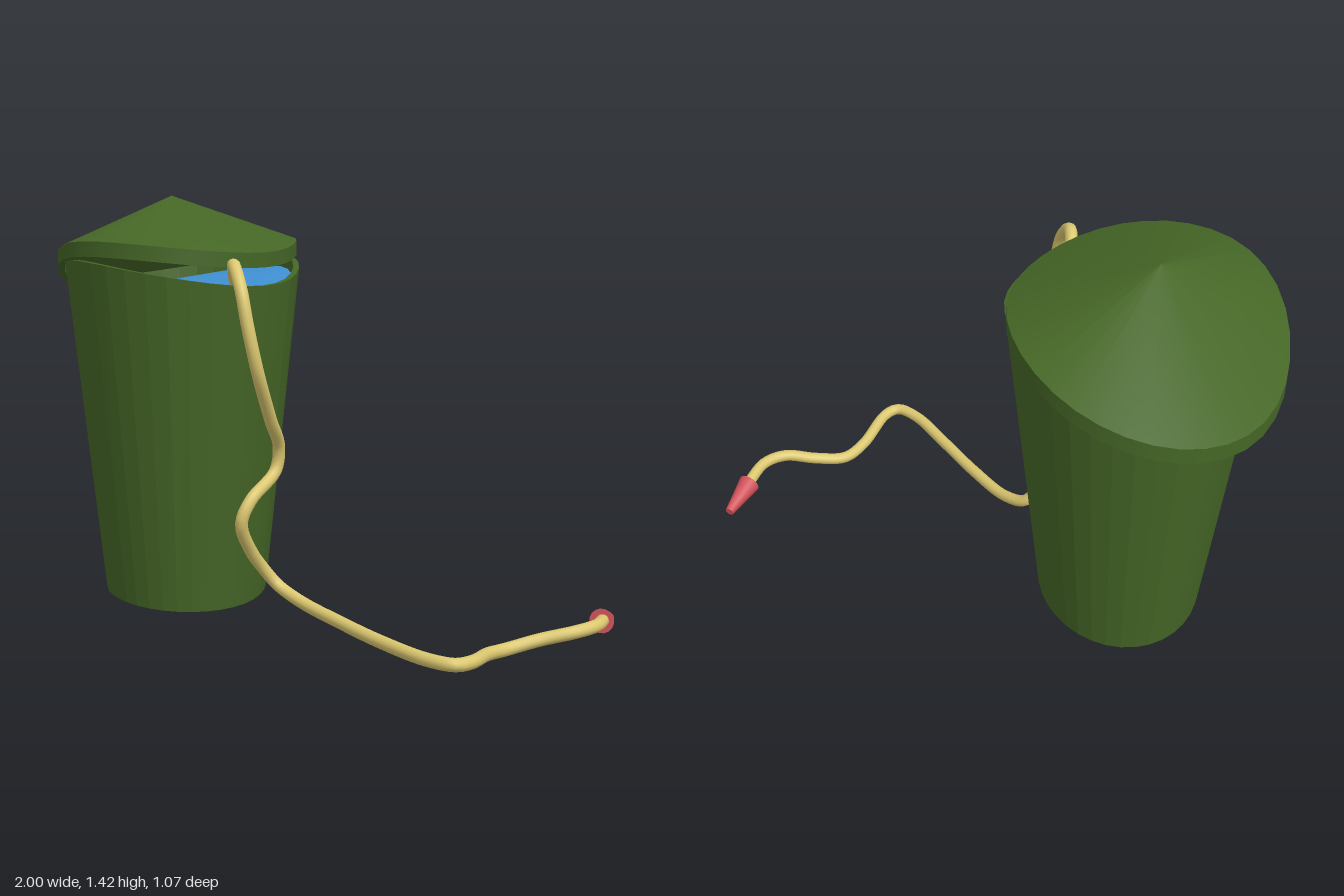
import * as THREE from 'three';
import { toCreasedNormals } from 'three/addons/utils/BufferGeometryUtils.js';

const SIDES = 36;
const SKEW = 0.2; // slant of the oval in plan
const TURN = THREE.MathUtils.degToRad(15); // direction of the saddle's low points

// Skewed oval ring whose height follows a saddle plus a tilt.
// r = [half width x, half depth z], c = centre [x, z]
function ring(c, r, y, saddle = 0, tilt = 0) {
  const pts = [];
  for (let i = 0; i < SIDES; i++) {
    const t = (i / SIDES) * Math.PI * 2;
    const x = r[0] * Math.cos(t);
    const z = r[1] * (SKEW * Math.cos(t) + Math.sqrt(1 - SKEW * SKEW) * Math.sin(t));
    const a = Math.atan2(z, x) - TURN;
    pts.push([c[0] + x, y + tilt * Math.cos(a) - saddle * Math.cos(2 * a), c[1] + z]);
  }
  return pts;
}

// Single point repeated, closing a loft
const tip = (x, y, z) => Array.from({ length: SIDES }, () => [x, y, z]);

// Skin a list of rings
function loft(rings, crease) {
  const pos = [];
  const idx = [];
  rings.forEach((r) => r.forEach((p) => pos.push(...p)));
  for (let i = 0; i < rings.length - 1; i++) {
    for (let j = 0; j < SIDES; j++) {
      const k = (j + 1) % SIDES;
      const a = i * SIDES + j, b = a + SIDES;
      const c = i * SIDES + k, d = c + SIDES;
      idx.push(a, b, c, c, b, d);
    }
  }
  const g = new THREE.BufferGeometry();
  g.setAttribute('position', new THREE.Float32BufferAttribute(pos, 3));
  g.setIndex(idx);
  return toCreasedNormals(g, crease);
}

export function createModel() {
  const model = new THREE.Group();
  const material = (color) => new THREE.MeshStandardMaterial({ color, side: THREE.DoubleSide });
  const green = material(0x456626);
  const add = (name, geometry, mat) => {
    const mesh = new THREE.Mesh(geometry, mat);
    mesh.name = name;
    model.add(mesh);
    return mesh;
  };

  // Tapered bucket: floor, outer wall, rim, inner wall, inner floor
  const c = [-0.44, 0.06];
  add('bucket', loft([
    tip(c[0], 0.053, c[1]),
    ring(c, [0.305, 0.326], 0.053, 0.008),
    ring(c, [0.43, 0.47], 1.17, 0.04),
    ring(c, [0.408, 0.447], 1.17, 0.04),
    ring(c, [0.285, 0.306], 0.09, 0.008),
    tip(c[0], 0.09, c[1]),
  ], 0.12), green);

  // Liquid filling the bucket to just under the rim
  add('liquid', loft([
    ring(c, [0.406, 0.444], 1.13, 0.04),
    tip(c[0], 1.13, c[1]),
  ], 0.5), material(0x3f8fd2));

  // Warped conical lid, hollow below, resting askew
  const l = [-0.55, -0.045];
  add('lid', loft([
    tip(-0.58, 1.375, -0.045),
    ring(l, [0.425, 0.47], 1.19, 0.045, 0.062),
    ring(l, [0.425, 0.47], 1.165, 0.045, 0.062),
    ring(l, [0.45, 0.495], 1.165, 0.045, 0.062),
    ring(l, [0.45, 0.495], 1.215, 0.045, 0.062),
    tip(-0.58, 1.42, -0.045),
  ], 0.5), green);

  // Hose: over the rim, winding down the side and along the ground
  const path = [
    [-0.115, 1.1, 0.17], [-0.1, 1.15, 0.21], [-0.05, 1.2, 0.28], [0.02, 1.13, 0.335],
    [0.05, 1.02, 0.342], [0.065, 0.87, 0.31], [0.035, 0.7, 0.2], [0.005, 0.6, 0.115],
    [-0.005, 0.52, 0.12], [-0.01, 0.44, 0.25], [-0.025, 0.37, 0.28], [-0.04, 0.26, 0.21],
    [-0.035, 0.19, 0.15], [0.0, 0.13, 0.115], [0.1, 0.092, 0.125], [0.3, 0.072, 0.19],
    [0.5, 0.064, 0.265], [0.7, 0.064, 0.33], [0.79, 0.064, 0.325], [0.81, 0.06, 0.27],
    [0.78, 0.035, 0.1], [0.79, 0.025, 0], [0.86, 0.045, -0.09], [0.945, 0.066, -0.165],
    [0.975, 0.069, -0.25], [0.95, 0.055, -0.37],
  ].map((p) => new THREE.Vector3(...p));
  add('hose', new THREE.TubeGeometry(new THREE.CatmullRomCurve3(path), 160, 0.021, 12), material(0xdcc870));

  // Tapered nozzle on the hose end
  const from = new THREE.Vector3(0.95, 0.055, -0.36);
  const to = new THREE.Vector3(0.917, 0.027, -0.5);
  const dir = to.clone().sub(from);
  const nozzle = add('nozzle',
    toCreasedNormals(new THREE.CylinderGeometry(0.016, 0.04, dir.length(), 16), 0.6), material(0xd0525a));
  nozzle.position.copy(from).lerp(to, 0.5);
  nozzle.quaternion.setFromUnitVectors(new THREE.Vector3(0, 1, 0), dir.normalize());

  return model;
}
